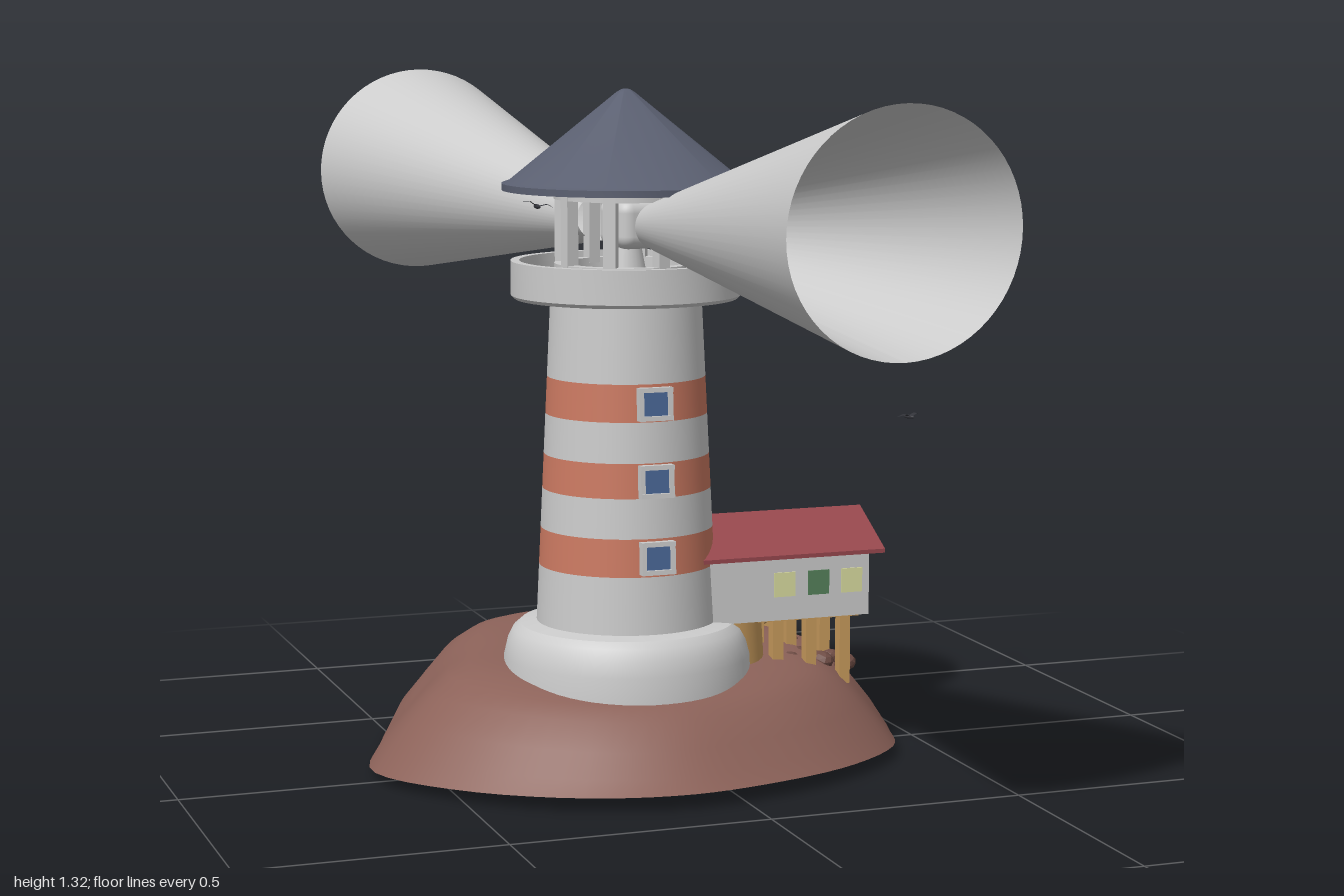
import * as THREE from 'three';
import { RoundedBoxGeometry } from 'three/addons/geometries/RoundedBoxGeometry.js';
import { toCreasedNormals } from 'three/addons/utils/BufferGeometryUtils.js';

const mat = (color, extra = {}) => new THREE.MeshStandardMaterial({ color, ...extra });
const both = { side: THREE.DoubleSide };
const M = {
  grey: mat(0xcccccc), greyShell: mat(0xcccccc, both), rock: mat(0x8c6259, both), stone: mat(0x6f4d45, { flatShading: true }),
  band: mat(0xcc7a62), slate: mat(0x5a5f70, both), tile: mat(0x96474d), wood: mat(0xc79a5c),
  blue: mat(0x4a6797), yellow: mat(0xd9dca0), green: mat(0x55805a), bird: mat(0x33343a, both),
};
const CX = -0.113, CZ = 0.008; // tower axis

function add(parent, name, geo, material, x = 0, y = 0, z = 0) {
  const m = new THREE.Mesh(geo, material);
  m.name = name;
  m.position.set(x, y, z);
  parent.add(m);
  return m;
}
const box = (p, name, material, w, h, d, x, y, z) => add(p, name, new THREE.BoxGeometry(w, h, d), material, x, y, z);
const lathe = (pts, seg = 64) =>
  toCreasedNormals(new THREE.LatheGeometry(pts.map(([r, y]) => new THREE.Vector2(r, y)), seg), 0.5);

// Open rock shell: rings shrinking from an irregular shoreline to the middle
function islandGeometry() {
  const shore = [[-0.62, 0], [-0.55, -0.24], [-0.46, -0.45], [-0.34, -0.58], [-0.2, -0.615], [-0.04, -0.585], [0.21, -0.48],
    [0.37, -0.34], [0.475, -0.15], [0.44, 0.03], [0.39, 0.16], [0.24, 0.29], [0.04, 0.37], [-0.13, 0.395], [-0.31, 0.35], [-0.5, 0.21]];
  const curve = new THREE.CatmullRomCurve3(shore.map(([x, z]) => new THREE.Vector3(x, 0, z)), true);
  const profile = [[0, 0.2], [0.25, 0.205], [0.5, 0.21], [0.62, 0.2], [0.7, 0.186], [0.78, 0.163], [0.87, 0.112], [0.94, 0.065], [1, 0]];
  const N = 72, ox = -0.08, oz = -0.08, pos = [], index = [];
  profile.forEach(([t, h], j) => {
    for (let i = 0; i < N; i++) {
      const p = curve.getPoint(i / N);
      const dx = p.x - ox, dz = p.z - oz, a = Math.atan2(dz, dx);
      const lean = 1 - t * (0.17 * Math.sin(a) + 0.02) + 0.05 * t;
      const dent = 0.025 * Math.exp(-(((t - 0.82) / 0.1) ** 2)) * Math.max(0, Math.cos(a + 2.8)) ** 8;
      const y = j === profile.length - 1 ? Math.max(0, 0.0185 + 0.03 * p.z) : h * lean - dent;
      pos.push(ox + dx * t, y, oz + dz * t);
      if (j < profile.length - 1) {
        const k = (i + 1) % N, A = j * N + i, B = j * N + k, C = A + N, D = B + N;
        index.push(A, D, C);
        if (j > 0) index.push(A, B, D);
      }
    }
  });
  const g = new THREE.BufferGeometry();
  g.setAttribute('position', new THREE.Float32BufferAttribute(pos, 3));
  g.setIndex(index);
  g.computeVertexNormals();
  return g;
}

// Light beam: open oval cone along +z that widens outwards
function beamGeometry() {
  const g = new THREE.CylinderGeometry(1, 1, 1, 64, 1, true);
  const p = g.attributes.position, mix = THREE.MathUtils.lerp;
  for (let i = 0; i < p.count; i++) {
    const x = p.getX(i), t = p.getY(i) + 0.5, z = p.getZ(i);
    p.setXYZ(i, x * mix(0.052, 0.233, t), mix(1.062, 1.11, t) - z * mix(0.046, 0.215, t), mix(0.12, 0.973, t));
  }
  g.computeVertexNormals();
  return g;
}

function buildTower() {
  const g = new THREE.Group();
  g.name = 'tower';
  g.position.set(CX, 0, CZ);
  const radius = (y) => THREE.MathUtils.lerp(0.176, 0.146, (y - 0.288) / 0.63);

  add(g, 'towerBase', lathe([[0.245, 0.09], [0.243, 0.16], [0.24, 0.22], [0.233, 0.25], [0.222, 0.272], [0.208, 0.284], [0.17, 0.29]]), M.greyShell);
  // Wall sections, alternately plain and painted
  const levels = [0.28, 0.4, 0.473, 0.55, 0.617, 0.695, 0.767, 0.925];
  for (let i = 0; i < levels.length - 1; i++) {
    const [a, b] = [levels[i], levels[i + 1]];
    add(g, i % 2 ? 'paintedBand' : 'wall', new THREE.CylinderGeometry(radius(b), radius(a), b - a, 64, 1, true),
      i % 2 ? M.band : M.grey, 0, (a + b) / 2, 0);
  }
  // Front windows
  for (const y of [0.437, 0.583, 0.73]) {
    const w = new THREE.Group();
    w.name = 'towerWindow';
    w.position.set(0.003, y, radius(y) + 0.002);
    w.rotation.x = -0.05;
    for (const s of [-1, 1]) {
      box(w, 'windowFrameSide', M.grey, 0.009, 0.06, 0.026, s * 0.029, 0, 0);
      box(w, 'windowFrameRail', M.grey, 0.067, 0.009, 0.03, 0, s * 0.027, 0);
    }
    box(w, 'windowGlass', M.blue, 0.05, 0.046, 0.014, 0, 0, 0);
    g.add(w);
  }
  // Gallery with raised rim
  add(g, 'gallery', lathe([[0.13, 0.917], [0.215, 0.917], [0.222, 0.924], [0.222, 0.99], [0.205, 0.99], [0.205, 0.94], [0, 0.94]]), M.greyShell);
  // Lantern room
  add(g, 'lanternSill', lathe([[0.138, 0.93], [0.138, 0.985], [0.115, 0.985], [0.115, 0.94]]), M.greyShell);
  add(g, 'lanternHeader', lathe([[0.115, 1.13], [0.115, 1.108], [0.138, 1.108], [0.138, 1.13]]), M.greyShell);
  for (let i = 0; i < 8; i++) {
    const a = (i + 0.5) * Math.PI / 4 - 0.16;
    box(g, 'lanternPost', M.grey, 0.024, 0.15, 0.024, Math.sin(a) * 0.126, 1.05, Math.cos(a) * 0.126).rotation.y = a;
  }
  add(g, 'lampStand', new THREE.CylinderGeometry(0.03, 0.045, 0.08, 24), M.grey, 0, 0.975, 0);
  add(g, 'lamp', new RoundedBoxGeometry(0.115, 0.095, 0.11, 4, 0.025), M.grey, 0.02, 1.06, 0).rotation.y = 0.165;
  // Conical roof
  add(g, 'towerRoof', lathe([[0, 1.125], [0.238, 1.125], [0.238, 1.138], [0.225, 1.142], [0.018, 1.31], [0.008, 1.316], [0, 1.317]]), M.slate);
  return g;
}

function buildHouse() {
  const g = new THREE.Group();
  g.name = 'stiltHouse';
  box(g, 'houseBody', M.grey, 0.335, 0.135, 0.2, 0.188, 0.3505, 0.012);
  // Gabled roof prism along x
  const gable = new THREE.Shape([[-0.128, 0], [0.128, 0], [0.128, 0.008], [0, 0.075], [-0.128, 0.008]].map(([x, y]) => new THREE.Vector2(x, y)));
  add(g, 'houseRoof', new THREE.ExtrudeGeometry(gable, { depth: 0.38, bevelEnabled: false }), M.tile, 0, 0.408, 0.006).rotation.y = Math.PI / 2;
  // Windows on the front and the end wall
  [[0.177, M.yellow], [0.248, M.green], [0.318, M.yellow]].forEach(([x, m]) => box(g, 'frontWindow', m, 0.044, 0.048, 0.006, x, 0.354, 0.112));
  [[0.056, M.green], [-0.026, M.yellow]].forEach(([z, m]) => box(g, 'endWindow', m, 0.006, 0.048, 0.052, 0.355, 0.354, z));
  box(g, 'backWindow', M.yellow, 0.2, 0.05, 0.006, 0.22, 0.345, -0.088);
  box(g, 'porch', M.yellow, 0.22, 0.012, 0.03, 0.22, 0.289, -0.1);
  // Stilts and support next to the tower
  [[0.178, 0.17], [0.248, 0.15], [0.32, 0.138]].forEach(([x, low]) => {
    for (const z of [0.065, -0.04]) box(g, 'stilt', M.wood, 0.022, 0.285 - low, 0.024, x, (0.285 + low) / 2, z);
  });
  for (const z of [0.065, -0.04]) box(g, 'floorBeam', M.wood, 0.28, 0.012, 0.02, 0.21, 0.279, z);
  add(g, 'woodenSupport', new THREE.CylinderGeometry(0.1, 0.108, 0.13, 32), M.wood, 0.06, 0.219, 0.01);

  // Boarded ramp down the back
  const ramp = new THREE.Group();
  ramp.name = 'ramp';
  ramp.position.set(0.237, 0.23, -0.2);
  ramp.rotation.x = -0.44;
  for (let i = 0; i < 9; i++) {
    box(ramp, 'rampBoard', M.wood, 0.14 + (i % 3) * 0.006, 0.009, 0.021, (i % 2) * 0.004, 0, -0.1 + i * 0.025);
  }
  for (const s of [-1, 1]) box(ramp, 'rampRail', M.wood, 0.014, 0.012, 0.23, s * 0.055, -0.009, 0);
  g.add(ramp);
  add(g, 'rampFootLog', new THREE.CylinderGeometry(0.013, 0.013, 0.175, 12), M.wood, 0.237, 0.186, -0.3).rotation.z = Math.PI / 2;
  for (const s of [-1, 1]) box(g, 'rampFootPost', M.wood, 0.02, 0.06, 0.02, 0.237 + s * 0.075, 0.18, -0.285);

  // Loose stones below the house
  const stones = [[0.22, 0.185, 0.03], [0.26, 0.18, -0.02], [0.29, 0.175, 0.02], [0.33, 0.17, -0.03], [0.34, 0.17, 0.03], [0.27, 0.185, -0.1], [0.2, 0.185, -0.07]];
  stones.forEach(([x, y, z], i) => {
    const s = add(g, 'stone', new THREE.IcosahedronGeometry(0.019 + (i % 3) * 0.003, 1), M.stone, x, y, z);
    s.scale.set(1.2, 0.8, 1);
    s.rotation.y = i;
  });
  return g;
}

// Small bird with bent wings spread along x
function buildBird(x, y, z, turn, roll) {
  const g = new THREE.Group();
  g.name = 'bird';
  g.position.set(x, y, z);
  g.rotation.set(0, turn, roll);
  add(g, 'birdBody', new THREE.SphereGeometry(0.005, 12, 8), M.bird).scale.set(0.9, 0.8, 3);
  for (const s of [-1, 1]) {
    const wing = new THREE.BufferGeometry();
    wing.setAttribute('position', new THREE.Float32BufferAttribute(
      [0, 0, 0.007, 0, 0, -0.006, s * 0.016, 0.007, 0.009, s * 0.016, 0.007, -0.002, s * 0.034, 0.002, -0.004], 3));
    wing.setIndex(s > 0 ? [0, 2, 1, 1, 2, 3, 3, 2, 4] : [0, 1, 2, 1, 3, 2, 3, 4, 2]);
    wing.computeVertexNormals();
    add(g, 'birdWing', wing, M.bird);
  }
  return g;
}

export function createModel() {
  const model = new THREE.Group();
  model.name = 'lighthouse';
  add(model, 'island', islandGeometry(), M.rock);
  model.add(buildTower(), buildHouse());

  // Two opposite light beams
  for (const side of [0, Math.PI]) {
    add(model, 'lightBeam', beamGeometry(), M.greyShell, -0.102, 0, -0.003).rotation.y = 0.164 + side;
  }
  model.add(buildBird(-0.46, 1.14, 0.56, 0, -0.2), buildBird(0.585, 0.62, -0.22, 0.45, 0));
  return model;
}
